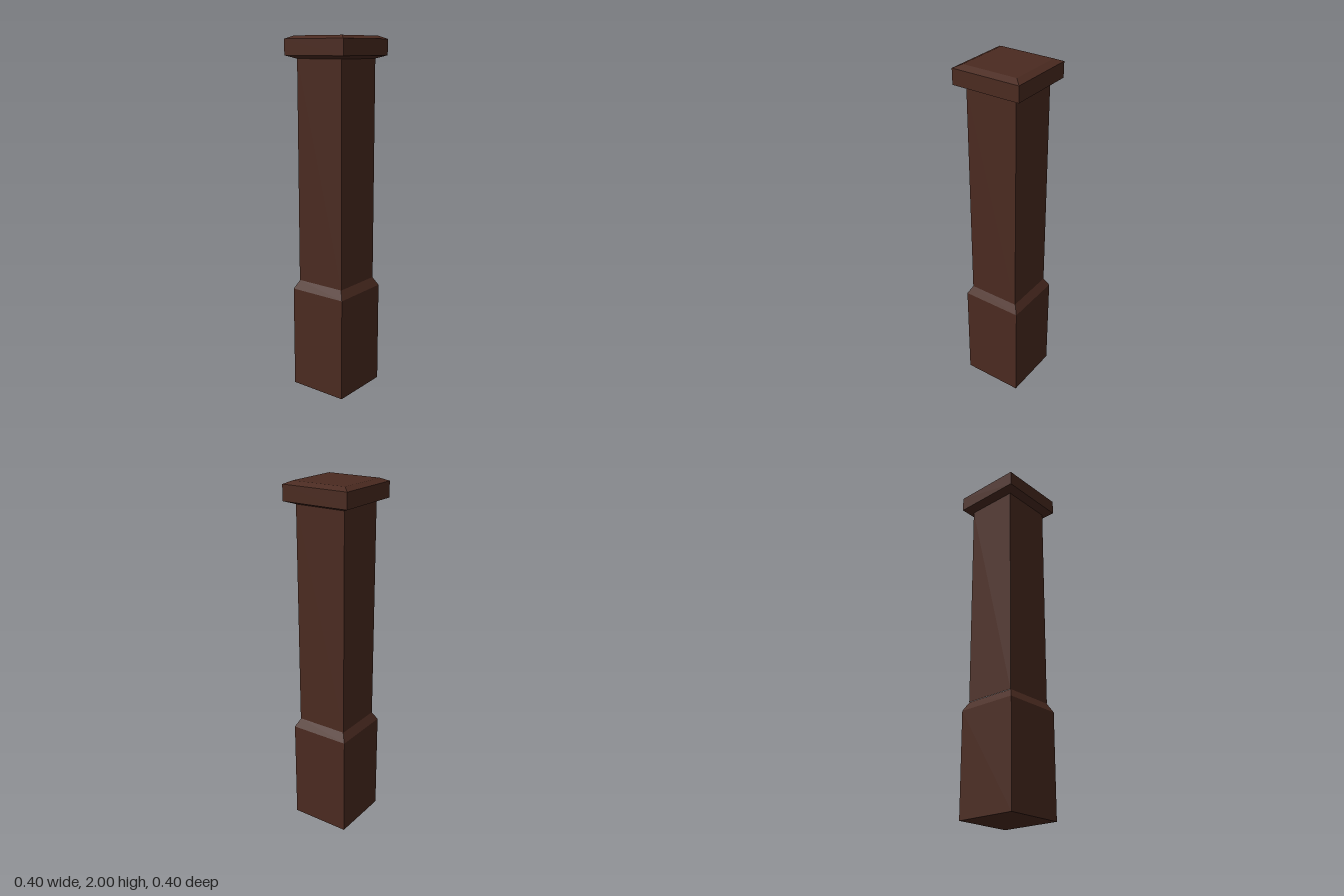
import * as THREE from 'three';

const wood = new THREE.MeshStandardMaterial({ color: 0x4a2a20, flatShading: true });

// Square-section solid from a profile of [half width, height], bottom to top
function squareTurned(name, profile) {
  const points = profile.map(([half, y]) => new THREE.Vector2(half * Math.SQRT2, y));
  const mesh = new THREE.Mesh(new THREE.LatheGeometry(points, 4, Math.PI / 4), wood);
  mesh.name = name;
  return mesh;
}

export function createModel() {
  const post = new THREE.Group();
  post.name = 'post';

  // Wide plinth with a chamfer up to the shaft
  const base = squareTurned('base', [[0, 0], [0.177, 0], [0.177, 0.587], [0.15, 0.637]]);
  base.scale.z = 0.985;

  // Plain square shaft
  const shaft = squareTurned('shaft', [[0.15, 0.637], [0.15, 1.88]]);

  // Overhanging cap, bevelled below and above
  const cap = squareTurned('cap', [[0.15, 1.88], [0.198, 1.897], [0.198, 1.983], [0.16, 2], [0, 2]]);

  post.add(base, shaft, cap);
  return post;
}
